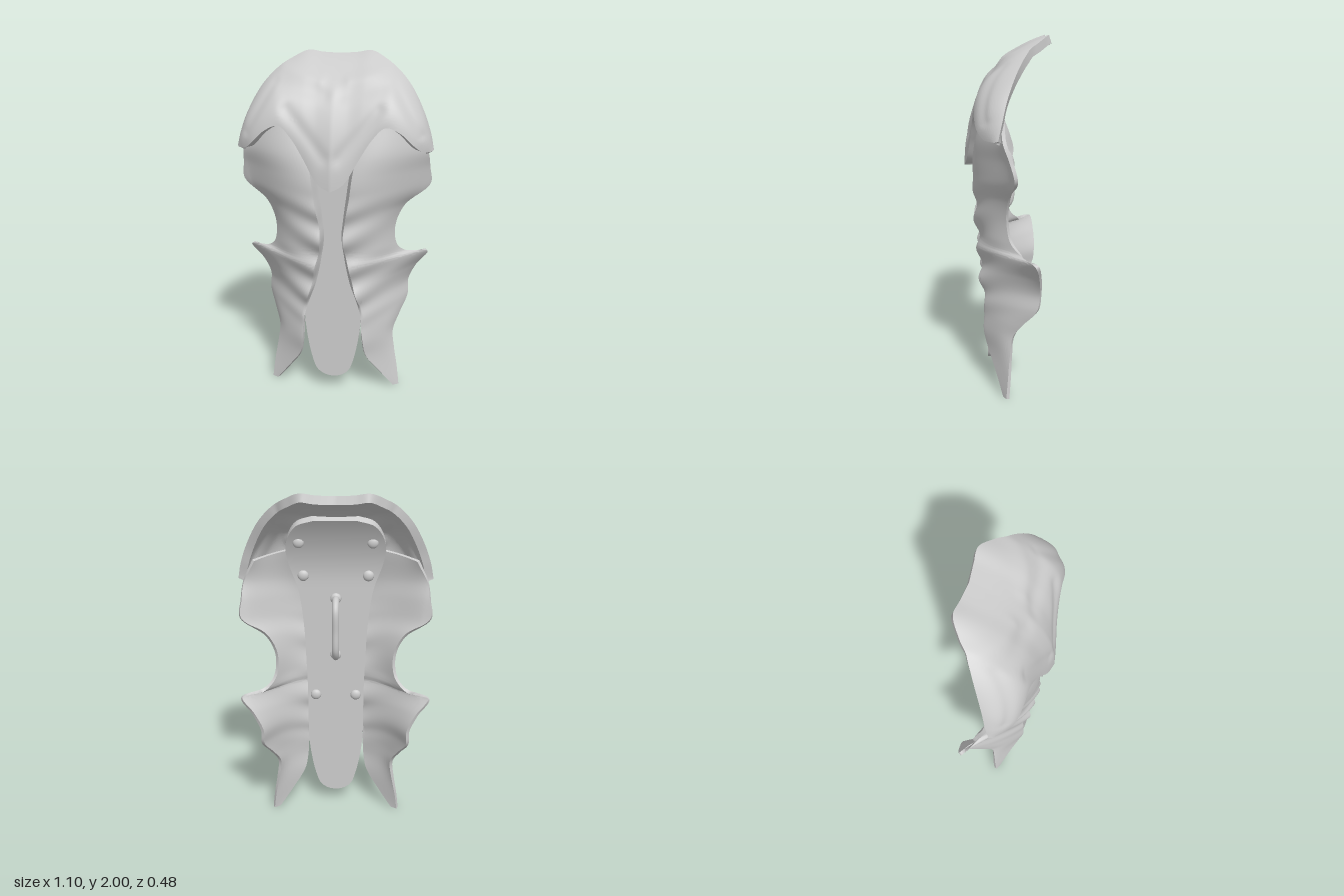
import * as THREE from 'three';
import { toCreasedNormals } from 'three/addons/utils/BufferGeometryUtils.js';

const material = new THREE.MeshStandardMaterial({ color: 0xcccccc });
const { smoothstep, lerp, clamp } = THREE.MathUtils;

function addMesh(parent, name, geometry) {
  const mesh = new THREE.Mesh(geometry, material);
  mesh.name = name;
  parent.add(mesh);
  return mesh;
}

// Curve through [x, y, z] points
const curve = (pts) => new THREE.CatmullRomCurve3(pts.map((p) => new THREE.Vector3(...p)));

// Closed plate: the surface f(u, v) (u to +x, v downward), thickened backward
function plate(f, nu, nv, thickness) {
  const front = [], back = [], index = [], e = 0.004;
  const count = (nu + 1) * (nv + 1);
  for (let j = 0; j <= nv; j++) {
    for (let i = 0; i <= nu; i++) {
      const u = i / nu, v = j / nv, p = f(u, v);
      const du = f(Math.min(1, u + e), v).sub(f(Math.max(0, u - e), v));
      const dv = f(u, Math.min(1, v + e)).sub(f(u, Math.max(0, v - e)));
      const n = dv.cross(du).normalize();
      front.push(p.x, p.y, p.z);
      p.addScaledVector(n, -thickness);
      back.push(p.x, p.y, p.z);
    }
  }
  const at = (i, j) => j * (nu + 1) + i;
  for (let j = 0; j < nv; j++) {
    for (let i = 0; i < nu; i++) {
      const a = at(i, j), b = at(i + 1, j), c = at(i, j + 1), d = at(i + 1, j + 1);
      index.push(a, c, b, b, c, d);
      index.push(a + count, b + count, c + count, b + count, d + count, c + count);
    }
  }
  // Rim joining front and back
  const loop = [];
  for (let i = 0; i < nu; i++) loop.push(at(i, 0));
  for (let j = 0; j < nv; j++) loop.push(at(nu, j));
  for (let i = nu; i > 0; i--) loop.push(at(i, nv));
  for (let j = nv; j > 0; j--) loop.push(at(0, j));
  loop.forEach((p, k) => {
    const q = loop[(k + 1) % loop.length];
    index.push(p, q, q + count, p, q + count, p + count);
  });
  const g = new THREE.BufferGeometry();
  g.setAttribute('position', new THREE.Float32BufferAttribute([...front, ...back], 3));
  g.setIndex(index);
  return toCreasedNormals(g, 0.85);
}

// Domed cap: upper rim, middle control line and scalloped lower edge, from the centre outward
const capRim = curve([[0, 1.985, -0.21], [0.1, 1.99, -0.22], [0.18, 2, -0.225], [0.26, 1.965, -0.175],
  [0.34, 1.91, -0.11], [0.42, 1.82, -0.055], [0.49, 1.69, -0.005], [0.53, 1.58, 0.022], [0.55, 1.49, 0.042]]);
const capMiddle = curve([[0, 1.85, 0.225], [0.09, 1.87, 0.2], [0.17, 1.87, 0.185], [0.25, 1.85, 0.16],
  [0.33, 1.805, 0.15], [0.41, 1.74, 0.135], [0.49, 1.655, 0.115], [0.522, 1.57, 0.093], [0.546, 1.49, 0.052]]);
const capEdge = curve([[0, 1.28, 0.235], [0.07, 1.32, 0.22], [0.15, 1.45, 0.195], [0.22, 1.56, 0.18],
  [0.29, 1.625, 0.172], [0.37, 1.595, 0.167], [0.44, 1.53, 0.15], [0.49, 1.49, 0.112], [0.54, 1.485, 0.062]]);

// Folds of the cap: from x, y to x, y, then width and height
const folds = [
  [0.08, 1.86, 0.3, 1.92, 0.03, 0.01],
  [0.05, 1.78, 0.28, 1.83, 0.035, -0.009],
  [0.33, 1.84, 0.48, 1.58, 0.025, -0.01],
  [0.04, 1.46, 0.25, 1.71, 0.035, -0.009],
];

function foldHeight(x, y) {
  let sum = 0;
  for (const [ax, ay, bx, by, width, height] of folds) {
    const dx = bx - ax, dy = by - ay;
    const t = clamp(((x - ax) * dx + (y - ay) * dy) / (dx * dx + dy * dy), 0, 1);
    const d = Math.hypot(x - ax - t * dx, y - ay - t * dy);
    sum += height * Math.exp(-((d / width) ** 2));
  }
  return sum;
}

function capSurface(u, v) {
  const s = 2 * u - 1, a = Math.abs(s), w = 1 - v;
  const p = capRim.getPoint(a).multiplyScalar(w * w)
    .addScaledVector(capMiddle.getPoint(a), 2 * v * w)
    .addScaledVector(capEdge.getPoint(a), v * v);
  p.z += foldHeight(p.x, p.y);
  if (s < 0) p.x = -p.x;
  return p;
}

// Side wing: matching inner and outer edges, from top to bottom
const wingInner = curve([[0.15, 1.67, 0.08], [0.11, 1.45, 0.155], [0.09, 1.33, 0.178],
  [0.075, 1.22, 0.18], [0.06, 1.1, 0.175], [0.05, 1, 0.172], [0.055, 0.93, 0.167], [0.065, 0.87, 0.16],
  [0.075, 0.81, 0.158], [0.1, 0.7, 0.15], [0.135, 0.6, 0.147], [0.165, 0.5, 0.125], [0.172, 0.43, 0.125],
  [0.18, 0.34, 0.128], [0.2, 0.24, 0.105], [0.28, 0.12, 0.058], [0.36, 0.008, 0.018]]);
const wingOuter = curve([[0.465, 1.6, 0.025], [0.52, 1.48, 0.02], [0.535, 1.38, -0.015],
  [0.54, 1.28, -0.04], [0.4, 1.16, -0.01], [0.35, 1.04, 0], [0.36, 0.92, -0.02], [0.41, 0.865, -0.07],
  [0.54, 0.835, -0.15], [0.475, 0.74, -0.175], [0.43, 0.64, -0.18], [0.43, 0.55, -0.165],
  [0.385, 0.45, -0.09], [0.35, 0.36, -0.035], [0.36, 0.25, -0.02], [0.38, 0.13, -0.01], [0.395, 0.008, 0]]);

function wingSurface(u, v) {
  const inner = wingInner.getPoint(v);
  const p = inner.clone().lerp(wingOuter.getPoint(v), u);
  // Outward swell beside the board
  const across = clamp((p.x - inner.x) / 0.42, 0, 1);
  p.z += 0.05 * Math.sin(Math.PI * across ** 0.8) * smoothstep(p.y, 0.1, 0.6) * (1 - u ** 6);
  // Ribs rising outward from the inner edge
  const fade = smoothstep(p.y, 0.4, 0.6) * (1 - smoothstep(p.y, 1.05, 1.3));
  const phase = (p.y - 0.97 - 0.4 * (p.x - 0.06)) / 0.18;
  p.z += 0.014 * fade * (1 - u) ** 1.5 * Math.cos(2 * Math.PI * phase);
  // Inner edge turns in to meet the board
  const turn = (1 - smoothstep(u, 0, 0.05)) * smoothstep(p.y, 0.45, 0.6) * (1 - smoothstep(p.y, 1.4, 1.6));
  p.z = lerp(p.z, boardZ(p.y), turn);
  return p;
}

// Backing board: half width and height, from top to bottom
const boardEdge = curve([[0.12, 1.855, 0], [0.215, 1.82, 0], [0.275, 1.71, 0], [0.268, 1.59, 0], [0.213, 1.41, 0],
  [0.185, 1.2, 0], [0.175, 1, 0], [0.168, 0.8, 0], [0.167, 0.6, 0], [0.165, 0.47, 0], [0.15, 0.34, 0],
  [0.125, 0.22, 0], [0.095, 0.14, 0], [0.05, 0.105, 0], [0.01, 0.095, 0]]);
const boardZ = (y) => 0.107 - 0.85 * Math.max(0, y - 1.45) ** 2;
const boardThickness = 0.04;

function boardSurface(u, v) {
  const p = boardEdge.getPoint(v);
  p.x *= 2 * u - 1;
  p.z = boardZ(p.y);
  return p;
}

export function createModel() {
  const group = new THREE.Group();
  group.name = 'shield';

  addMesh(group, 'cap', plate(capSurface, 112, 48, 0.045));
  addMesh(group, 'leftWing', plate(wingSurface, 60, 128, 0.02));
  const mirrored = (u, v) => {
    const p = wingSurface(1 - u, v);
    p.x = -p.x;
    return p;
  };
  addMesh(group, 'rightWing', plate(mirrored, 60, 128, 0.02));
  addMesh(group, 'backBoard', plate(boardSurface, 12, 72, boardThickness));

  // Grip on the back with flared feet
  const handle = new THREE.Group();
  handle.name = 'handle';
  group.add(handle);
  const grip = curve([[0, 1.365, 0.075], [0, 1.36, 0.015], [0, 1.315, -0.025], [0, 1.19, -0.03],
    [0, 1.07, -0.025], [0, 1.025, 0.015], [0, 1.02, 0.075]]);
  addMesh(handle, 'grip', new THREE.TubeGeometry(grip, 48, 0.02, 12));
  for (const y of [1.02, 1.365]) {
    const foot = addMesh(handle, 'handleFoot', new THREE.SphereGeometry(0.032, 14, 10));
    foot.position.set(0, y, 0.067);
    foot.scale.z = 0.6;
  }

  // Rivets fixing the plates to the board
  for (const [x, y] of [[0.205, 1.7], [0.185, 1.5], [0.12, 0.76]]) {
    for (const side of [-1, 1]) {
      const rivet = addMesh(group, 'rivet', new THREE.SphereGeometry(0.032, 14, 10));
      rivet.position.set(side * x, y, boardZ(y) - boardThickness);
      rivet.scale.z = 0.6;
    }
  }
  return group;
}
